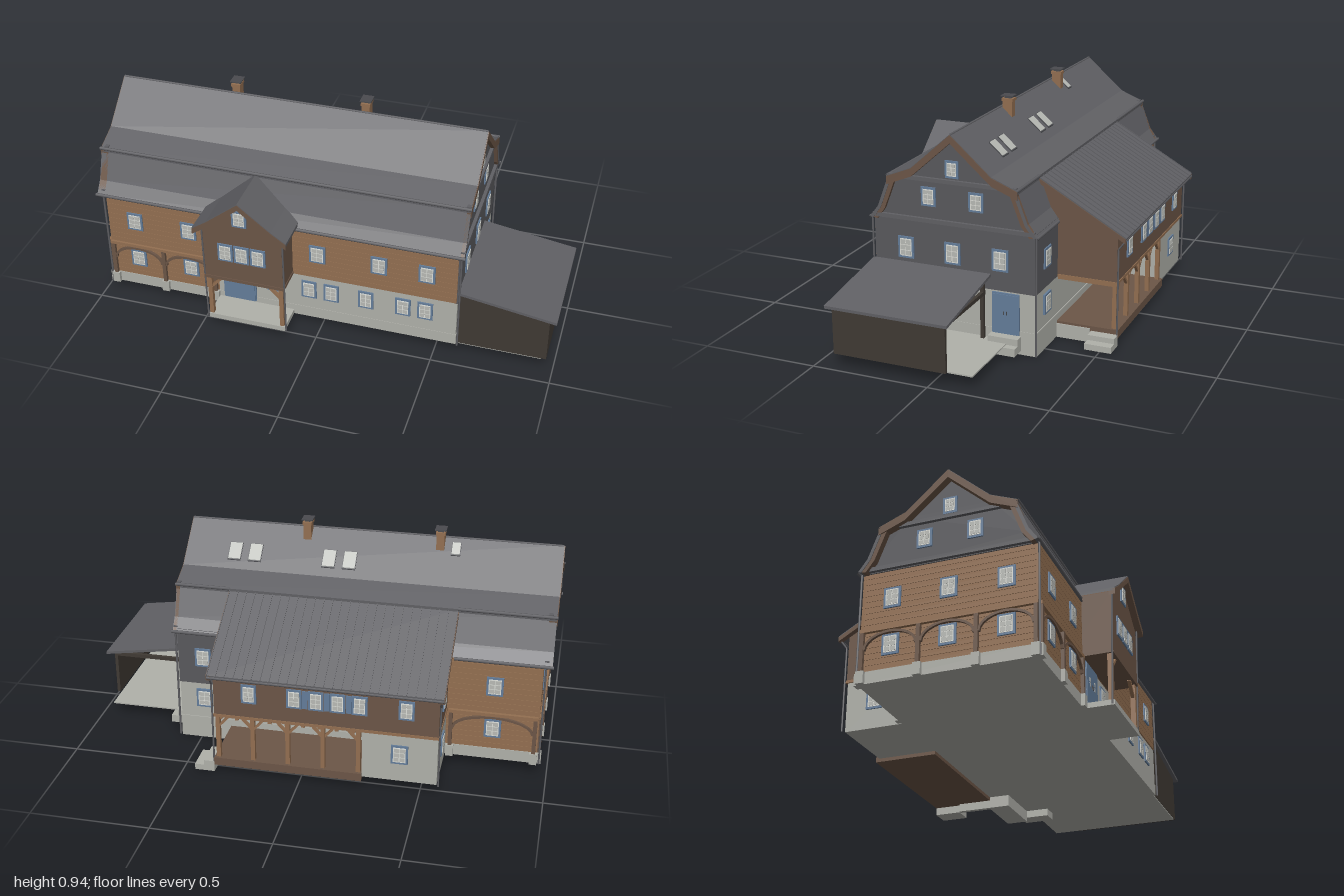
import * as THREE from 'three';

const mat = (name, color) => Object.assign(new THREE.MeshStandardMaterial({ color }), { name });
const M = {
  roof: mat('slate roof', 0x606064), siding: mat('grey siding', 0x59595d), log: mat('log brown', 0x936f51),
  timber: mat('dark timber', 0x6c5647), plaster: mat('plaster', 0xb0b1aa), blue: mat('blue paint', 0x647d9a),
  pane: mat('window pane', 0xb9bbb6), white: mat('white muntin', 0xdedfd9), shed: mat('carport boards', 0x403a34),
  metal: mat('dark metal', 0x4a4b4f),
};

export function createModel() {
  const root = new THREE.Group();
  const add = (name, geo, m, parent = root) => {
    const mesh = new THREE.Mesh(geo, m);
    mesh.name = name;
    parent.add(mesh);
    return mesh;
  };
  const box = (name, m, x0, x1, y0, y1, z0, z1, parent) => add(name,
    new THREE.BoxGeometry(x1 - x0, y1 - y0, z1 - z0).translate((x0 + x1) / 2, (y0 + y1) / 2, (z0 + z1) / 2), m, parent);
  const extrude = (pts, depth) => new THREE.ExtrudeGeometry(
    new THREE.Shape(pts.map(p => new THREE.Vector2(p[0], p[1]))), { depth, bevelEnabled: false });
  // outline in (z, y), extruded along x
  const prismX = (name, m, pts, x0, x1) => add(name,
    extrude(pts.map(([z, y]) => [-z, y]), x1 - x0).rotateY(Math.PI / 2).translate(x0, 0, 0), m);
  // outline in (x, y), extruded along z
  const prismZ = (name, m, pts, z0, z1, parent) => add(name, extrude(pts, z1 - z0).translate(0, 0, z0), m, parent);
  // thick band following a line, offset by (da, dy)
  const band = (pts, da, dy) => [...pts, ...pts.map(([a, y]) => [a + da, y + dy]).reverse()];
  const pipe = (name, r, a, b) => add(name, new THREE.TubeGeometry(
    new THREE.LineCurve3(new THREE.Vector3(...a), new THREE.Vector3(...b)), 1, r, 6), M.roof);
  const FRONT = 0, BACK = Math.PI, LEFT = Math.PI / 2, RIGHT = -Math.PI / 2;
  const placed = (name, x, y, z, turn) => {
    const g = new THREE.Group();
    g.name = name;
    g.position.set(x, y, z);
    g.rotation.y = turn;
    root.add(g);
    return g;
  };

  // window: blue casing, white sash, panes and muntins
  const win = (x, y, z, turn, w = 0.07, h = 0.085) => {
    const g = placed('window', x, y, z, turn), a = w / 2, b = h / 2;
    box('casing', M.blue, -a, a, -b, b, -0.004, 0.005, g);
    box('sash', M.white, -a + 0.009, a - 0.009, -b + 0.009, b - 0.009, 0, 0.007, g);
    for (const i of [0, 1]) for (const j of [0, 1, 2]) {
      const pw = (w - 0.028) / 2, ph = (h - 0.032) / 3;
      const x0 = -a + 0.0125 + i * (pw + 0.003), y0 = -b + 0.013 + j * (ph + 0.003);
      box('pane', M.pane, x0, x0 + pw, y0, y0 + ph, 0.002, 0.008, g);
    }
  };
  // double door with raised panels and a pair of handles
  const door = (x, y, z, turn, w, h, glazed) => {
    const g = placed('door', x, y, z, turn);
    box('doorCasing', M.blue, -w / 2 - 0.006, w / 2 + 0.006, 0, h + 0.006, -0.004, 0.005, g);
    box('doorLeaves', M.blue, -w / 2, w / 2, 0, h, 0, 0.008, g);
    for (const s of [-1, 1]) {
      box('handle', M.metal, s * 0.006 - 0.0015, s * 0.006 + 0.0015, h * 0.49, h * 0.58, 0, 0.011, g);
      if (glazed) for (const j of [0, 1])
        box('doorGlass', M.pane, s * w * 0.22 - 0.006, s * w * 0.22 + 0.006, h * (0.5 + j * 0.12), h * (0.6 + j * 0.12), 0, 0.0095, g);
    }
  };
  // stacked logs with narrow joints
  const logs = (x, z, turn, len, y0, y1) => {
    const g = placed('logWall', x, 0, z, turn), n = Math.round((y1 - y0) / 0.024), s = (y1 - y0) / n;
    box('logBacking', M.log, -len / 2, len / 2, y0, y1, -0.012, -0.003, g);
    for (let i = 0; i < n; i++)
      box('log', M.log, -len / 2, len / 2, y0 + i * s + 0.0006, y0 + (i + 1) * s - 0.0006, -0.01, 0, g);
  };
  // posts with arched braces carrying a beam
  const arcade = (x, z, turn, len, bays) => {
    const g = placed('arcade', x, 0, z, turn), s = len / bays;
    box('beam', M.log, -len / 2 - 0.01, len / 2 + 0.01, 0.257, 0.271, 0, 0.014, g);
    for (let i = 0; i <= bays; i++) {
      const px = -len / 2 + i * s;
      box('post', M.timber, px - 0.008, px + 0.008, 0.09, 0.26, 0, 0.014, g);
      box('padStone', M.plaster, px - 0.016, px + 0.016, 0.05, 0.1, -0.005, 0.018, g);
      if (i === bays) continue;
      const arc = r => Array.from({ length: 13 }, (_, k) => {
        const t = Math.PI * k / 12;
        return [px + s / 2 - Math.cos(t) * (s / 2 - r), 0.185 + Math.sin(t) * (0.074 - r)];
      });
      prismZ('arch', M.timber, [...arc(0.004), ...arc(0.014).reverse()], 0.001, 0.012, g);
    }
  };

  // main house body
  box('houseCore', M.log, -0.945, 0.58, 0.06, 0.53, -0.272, 0.42);
  box('plinth', M.plaster, -0.958, 0.59, 0.05, 0.1, -0.284, 0.43);
  box('plasterFloor', M.plaster, -0.46, 0.588, 0.06, 0.266, -0.28, 0.428);
  box('backSiding', M.siding, 0.3, 0.588, 0.266, 0.52, -0.284, -0.26);
  box('cornerFoundation', M.plaster, 0.35, 0.59, 0, 0.06, -0.284, -0.19);
  box('sideFoundation', M.plaster, 0.35, 0.37, 0, 0.06, -0.43, -0.28);
  logs(-0.185, 0.432, FRONT, 1.54, 0.268, 0.515);
  logs(-0.7075, 0.428, FRONT, 0.495, 0.1, 0.268);
  for (const [y0, y1] of [[0.1, 0.268], [0.268, 0.515]]) {
    logs(-0.76, -0.282, BACK, 0.39, y0, y1);
    logs(-0.955, 0.075, RIGHT, 0.712, y0, y1);
  }
  arcade(-0.71, 0.428, FRONT, 0.47, 2);
  arcade(-0.765, -0.282, BACK, 0.35, 1);
  arcade(-0.955, 0.075, RIGHT, 0.69, 3);

  // gable walls
  const C = 0.075;
  const gable = y0 => {
    const half = [[0.353, y0], [0.353, 0.52], [0.312, 0.565], [0.265, 0.685], [0.17, 0.728], [0, 0.876]];
    return [...half.map(([u, y]) => [C + u, y]), ...half.slice(0, -1).reverse().map(([u, y]) => [C - u, y])];
  };
  prismX('leftGable', M.siding, gable(0.264), 0.57, 0.592);
  prismX('rightGable', M.siding, gable(0.51), -0.96, -0.94);
  for (const [a, b] of [[0.59, 0.606], [-0.975, -0.958]]) {
    box('gableEaveStrip', M.roof, a, b, 0.686, 0.702, -0.205, 0.355);
    box('gableFloorStrip', M.roof, a, b, 0.513, 0.53, -0.28, 0.43);
  }

  // gambrel roof with bargeboards and gutters
  const lower = [[0.364, 0.512], [0.328, 0.56], [0.277, 0.692]], upper = [[0.285, 0.693], [0.175, 0.737], [0, 0.892]];
  for (const s of [-1, 1]) {
    const side = p => p.map(([u, y]) => [C + s * u, y]);
    prismX('lowerRoof', M.roof, band(side(lower), -s * 0.012, -0.006), -0.99, 0.608);
    prismX('upperRoof', M.roof, band(side(upper), 0, -0.016), -0.99, 0.608);
    for (const [a, b] of [[0.592, 0.606], [-0.988, -0.958]])
      prismX('lowerBargeboard', M.timber, band(side(lower), -s * 0.03, -0.008), a, b);
    for (const [a, b] of [[0.592, 0.611], [-0.993, -0.958]])
      prismX('upperBargeboard', M.timber, band(side(upper).map(([z, y]) => [z, y - 0.003]), 0, -0.034), a, b);
    // the back gutters stop on both sides of the extension
    const ends = (s > 0) ? [[-0.995, 0.612]] : [[-0.995, -0.592], [0.375, 0.612]];
    for (const [a, b] of ends) pipe('upperGutter', 0.007, [a, 0.692, C + s * 0.284], [b, 0.692, C + s * 0.284]);
    const eaves = (s > 0) ? [[-0.995, -0.5], [-0.1, 0.612]] : ends;
    for (const [a, b] of eaves) pipe('eaveGutter', 0.007, [a, 0.508, C + s * 0.367], [b, 0.508, C + s * 0.367]);
    for (const x of [-0.965, 0.597])
      pipe('downpipe', 0.0045, [x, s < 0 && x > 0 ? 0.005 : 0.05, C + s * 0.36], [x, 0.51, C + s * 0.36]);
  }
  pipe('ridgeCap', 0.005, [-0.99, 0.889, C], [0.608, 0.889, C]);

  // chimneys
  for (const x of [-0.48, 0.09]) {
    box('chimney', M.log, x - 0.017, x + 0.017, 0.8, 0.926, 0.024, 0.067);
    box('chimneyCollar', M.log, x - 0.02, x + 0.02, 0.914, 0.926, 0.02, 0.071);
    box('chimneyCap', M.metal, x - 0.024, x + 0.024, 0.934, 0.939, 0.018, 0.073);
    box('chimneyFlue', M.metal, x - 0.012, x + 0.012, 0.92, 0.935, 0.03, 0.06);
  }
  // skylights on the back slope
  const slopeY = z => 0.892 - (C - z) * 0.155 / 0.175;
  for (const [x, w, z0, z1] of [[-0.107, 0.058, -0.07, -0.008], [-0.018, 0.058, -0.07, -0.008], [0.303, 0.058, -0.07, -0.008],
    [0.392, 0.058, -0.07, -0.008], [-0.547, 0.04, 0.008, 0.054]]) {
    const line = (e, h) => [[z0 + e, slopeY(z0 + e) + h], [z1 - e, slopeY(z1 - e) + h]];
    prismX('skylightFrame', M.metal, band(line(0, 0.004), 0, -0.01), x - w / 2, x + w / 2);
    prismX('skylightGlass', M.pane, band(line(0.003, 0.006), 0, -0.008), x - w / 2 + 0.003, x + w / 2 - 0.003);
  }

  // front bay over the entrance porch
  prismZ('bay', M.timber, [[-0.465, 0.27], [-0.12, 0.27], [-0.12, 0.535], [-0.295, 0.672], [-0.465, 0.535]], 0.36, 0.555);
  for (const s of [-1, 1]) {
    const line = [[-0.297, 0.687], [-0.297 + s * 0.14, 0.575], [-0.297 + s * 0.203, 0.532]];
    prismZ('bayRoof', M.roof, band(line, 0, -0.014), 0.34, 0.58);
    prismZ('bayBargeboard', M.timber, band(line.map(([x, y]) => [x, y - 0.004]), 0, -0.026), 0.555, 0.582);
    const px = -0.292 + s * 0.158;
    box('porchPost', M.log, px - 0.009, px + 0.009, 0.07, 0.275, 0.53, 0.55);
    prismZ('porchBrace', M.log, band([[px, 0.2], [px - s * 0.06, 0.265]], 0, 0.016), 0.533, 0.547);
    pipe('bayDownpipe', 0.004, [px + s * 0.017, 0.05, 0.548], [px + s * 0.017, 0.53, 0.56]);
  }
  box('baySill', M.timber, -0.468, -0.117, 0.268, 0.282, 0.43, 0.558);
  box('porchFloor', M.plaster, -0.46, -0.12, 0.05, 0.072, 0.42, 0.555);
  door(-0.362, 0.08, 0.43, FRONT, 0.135, 0.18, true);

  // back extension
  prismX('extension', M.timber, [[-0.2, 0.68], [-0.24, 0.275], [-0.54, 0.275], [-0.54, 0.487]], -0.572, 0.36);
  box('extensionSill', M.log, -0.575, 0.363, 0.264, 0.276, -0.543, -0.28);
  box('extensionRoom', M.plaster, -0.57, -0.26, 0.05, 0.266, -0.535, -0.27);
  const slope = [[-0.2, 0.687], [-0.578, 0.472]];
  prismX('extensionRoof', M.roof, band(slope, 0, -0.016), -0.592, 0.375);
  for (const [a, b] of [[-0.595, -0.572], [0.36, 0.378]])
    prismX('extensionVerge', M.timber, band(slope.map(([z, y]) => [z, y - 0.002]), 0, -0.02), a, b);
  for (let i = 0; i <= 26; i++) {
    const x = -0.592 + i * 0.964 / 26;
    prismX('roofSeam', M.roof, band(slope.map(([z, y]) => [z, y + 0.004]), 0, -0.005), x, x + 0.003);
  }
  pipe('extensionGutter', 0.006, [-0.592, 0.46, -0.575], [0.375, 0.46, -0.575]);
  for (const x of [-0.578, 0.366]) {
    pipe('extensionDownpipe', 0.004, [x, 0.05, -0.546], [x, 0.42, -0.546]);
    pipe('gutterElbow', 0.004, [x, 0.42, -0.546], [x, 0.458, -0.574]);
  }

  // veranda under the extension
  box('deck', M.timber, -0.26, 0.365, 0.035, 0.07, -0.55, -0.28);
  for (let i = 0; i < 5; i++) {
    const x = -0.245 + i * 0.148;
    box('verandaPost', M.log, x - 0.009, x + 0.009, 0.07, 0.266, -0.538, -0.52);
    for (const s of [-1, 1]) if (!(i === 0 && s < 0) && !(i === 4 && s > 0))
      prismZ('verandaBrace', M.log, band([[x, 0.205], [x + s * 0.045, 0.255]], 0, 0.014), -0.535, -0.523);
  }
  for (let i = 0; i < 9; i++) box('ceilingBeam', M.log, -0.23 + i * 0.07, -0.215 + i * 0.07, 0.248, 0.266, -0.53, -0.28);
  box('deckStepLow', M.plaster, 0.365, 0.45, 0.002, 0.028, -0.55, -0.435);
  box('deckStepHigh', M.plaster, 0.365, 0.41, 0.028, 0.05, -0.55, -0.435);

  // carport on the left end
  const top = x => 0.325 - (x - 0.59) * 0.158;
  prismZ('carportFrontWall', M.shed, [[0.592, 0.055], [0.968, 0.055], [0.968, top(0.968)], [0.592, top(0.592)]], 0.41, 0.422);
  box('carportSideWall', M.shed, 0.956, 0.97, 0.055, 0.262, -0.065, 0.422);
  prismZ('carportRoof', M.roof, band([[0.592, 0.33], [1, 0.267]], 0, -0.012), -0.088, 0.438);
  box('carportBeam', M.shed, 0.592, 0.965, 0.24, 0.256, -0.065, -0.05);
  box('carportPost', M.shed, 0.6, 0.615, 0.055, 0.31, -0.065, -0.05);
  box('carportFloor', M.plaster, 0.588, 0.95, 0.05, 0.056, -0.168, 0.42);
  door(0.59, 0.083, -0.152, LEFT, 0.106, 0.168, false);
  box('doorStepHigh', M.plaster, 0.588, 0.63, 0.05, 0.08, -0.218, -0.088);
  box('doorStepLow', M.plaster, 0.588, 0.66, 0.018, 0.052, -0.218, -0.088);

  // windows: front, back, left end, right end
  for (const x of [-0.83, -0.585, -0.01, 0.255, 0.458]) win(x, 0.393, 0.433, FRONT);
  for (const x of [-0.83, -0.585]) win(x, 0.197, 0.429, FRONT);
  for (const x of [-0.205, -0.05, 0.048, 0.2, 0.36, 0.455]) win(x, 0.198, 0.429, FRONT, 0.066);
  for (const x of [-0.368, -0.297, -0.226]) win(x, 0.416, 0.556, FRONT, 0.066);
  win(-0.3, 0.597, 0.556, FRONT, 0.064, 0.078);
  for (const y of [0.197, 0.393]) {
    win(-0.765, y, -0.283, BACK);
    win(0.48, y, -0.285, BACK);
    for (const z of [-0.155, 0.075, 0.305]) win(-0.956, y, z, RIGHT);
  }
  for (const x of [0.21, 0.02, -0.07, -0.16, -0.25, -0.44]) win(x, 0.385, -0.541, BACK, 0.064);
  for (const x of [-0.025, -0.115, -0.205]) box('shutter', M.blue, x - 0.011, x + 0.011, 0.345, 0.425, -0.545, -0.538);
  win(-0.415, 0.175, -0.536, BACK);
  win(-0.573, 0.385, -0.41, RIGHT);
  win(-0.571, 0.175, -0.41, RIGHT);
  for (const z of [0.286, 0.078, -0.13]) win(0.593, 0.393, z, LEFT, 0.07, 0.092);
  for (const [x, turn] of [[0.593, LEFT], [-0.961, RIGHT]]) {
    for (const z of [0.18, -0.028]) win(x, 0.621, z, turn, 0.064, 0.08);
    win(x, 0.745, C, turn, 0.058, 0.072);
  }
  return root;
}
